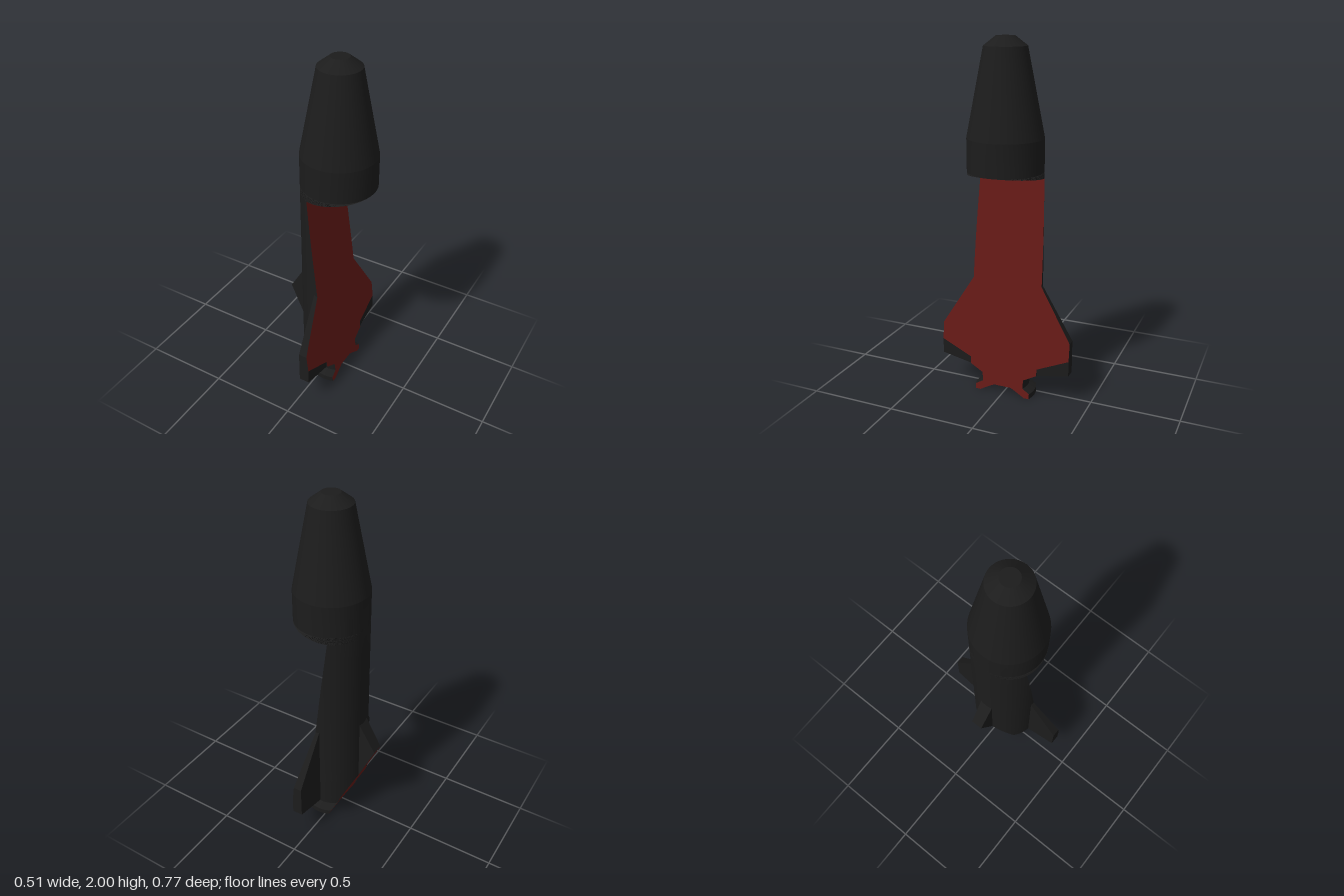
import * as THREE from 'three';
import { toCreasedNormals } from 'three/addons/utils/BufferGeometryUtils.js';

const AXIS = 0.047;          // x of the rocket's axis
const R = 0.207;             // hull radius
const STEPS = 20;            // facets per half turn
const CAVITY_Y = 0.045;      // roof of the nozzle cavity
const BREAK_Y = 1.26, HEAD_Y = 1.3;

const black = new THREE.MeshStandardMaterial({ color: 0x1c1c1c, side: THREE.DoubleSide });
const red = new THREE.MeshStandardMaterial({ color: 0x661a17, side: THREE.DoubleSide });
const grey = new THREE.MeshStandardMaterial({ color: 0xcccccc, side: THREE.DoubleSide });

// Section planes as x limits at each height
function cutFront(y) {
  if (y <= BREAK_Y) return 0.108 - 0.1175 * y;
  if (y < HEAD_Y) return -0.04 + (y - BREAK_Y) / (HEAD_Y - BREAK_Y) * 0.294;
  return 9;
}
const cutBack = (y) => -0.02 - 0.461 * y;
const angleAt = (x, r) => Math.acos(THREE.MathUtils.clamp((x - AXIS) / (r || 1e-6), -1, 1));
const chord = (x, r) => Math.sqrt(Math.max(0, r * r - (x - AXIS) ** 2));

// Collects quads and turns them into a mesh
class Faces {
  constructor() { this.pos = []; }
  tri(a, b, c) {
    const u = new THREE.Vector3().subVectors(b, a), v = new THREE.Vector3().subVectors(c, a);
    if (u.cross(v).length() > 1e-10) for (const p of [a, b, c]) this.pos.push(p.x, p.y, p.z);
  }
  quad(a, b, c, d, flip = false) {
    if (flip) [b, d] = [d, b];
    this.tri(a, b, c);
    this.tri(a, c, d);
  }
  mesh(name, material) {
    const g = new THREE.BufferGeometry();
    g.setAttribute('position', new THREE.Float32BufferAttribute(this.pos, 3));
    const m = new THREE.Mesh(toCreasedNormals(g, 0.17), material);
    m.name = name;
    return m;
  }
}
const V = (x, y, z) => new THREE.Vector3(x, y, z);

// Outer profile [radius, y] from nose to nozzle rim
function outerProfile() {
  const pts = [[0, 2], [0.05, 2], [0.115, 1.95], [R, 1.48], [R, HEAD_Y]];
  for (let i = 1; i <= 16; i++) {      // finer where the head is sectioned
    const t = (1 + (Math.cos(Math.PI * i / 16))) / 2;
    pts.push([R, BREAK_Y + (HEAD_Y - BREAK_Y) * t]);
  }
  for (let i = 1; i <= 8; i++) pts.push([R, BREAK_Y - (BREAK_Y - 0.304) * i / 8]);
  for (let i = 1; i <= 12; i++) pts.push([R, 0.304 - 0.159 * (i / 12) ** 2]);
  const nozzle = [[R, 0.145], [0.135, 0.105], [0.135, 0.055], [0.151, CAVITY_Y], [0.175, 0.03], [0.175, 0]];
  for (let k = 1; k < nozzle.length; k++) {
    const [r0, y0] = nozzle[k - 1], [r1, y1] = nozzle[k];
    for (let i = 1; i <= 4; i++) pts.push([r0 + (r1 - r0) * i / 4, y0 + (y1 - y0) * i / 4]);
  }
  return pts;
}
const cavityRadius = (y) => 0.148 - 0.073 * y / CAVITY_Y;

// Revolved skin, kept only between the two section planes
function skin(profile, name) {
  const f = new Faces();
  const point = ([r, y], j, s) => {
    const a0 = angleAt(cutFront(y), r), a1 = angleAt(cutBack(y), r);
    const a = a0 + (a1 - a0) * j / STEPS;
    return V(AXIS + r * Math.cos(a), y, s * r * Math.sin(a));
  };
  for (const s of [1, -1])
    for (let i = 1; i < profile.length; i++)
      for (let j = 0; j < STEPS; j++) {
        const p = profile[i - 1], q = profile[i];
        f.quad(point(p, j, s), point(q, j, s), point(q, j + 1, s), point(p, j + 1, s), s > 0);
      }
  return f.mesh(name, black);
}

// Flat face left by one section plane, with the cavity left open
function sectionFace(profile, cut, name, back) {
  const f = new Faces();
  for (let i = 1; i < profile.length; i++) {
    const [r0, y0] = profile[i - 1], [r1, y1] = profile[i];
    if (y0 > HEAD_Y || (back && y0 > 0.31)) continue;
    const open = y0 <= CAVITY_Y + 1e-6;
    const row = (r, y, s) => {
      const x = Math.min(cut(y), AXIS + R);
      return [V(x, y, open ? s * chord(x, cavityRadius(y)) : 0), V(x, y, s * chord(x, r))];
    };
    for (const s of [1, -1]) {
      const [a, b] = row(r0, y0, s), [d, c] = row(r1, y1, s);
      f.quad(a, b, c, d, (s < 0) !== back);
    }
  }
  return f.mesh(name, red);
}

// Side fin: root and tip stations, front trimmed by the section plane
function sideFin(s) {
  const station = (z, top, bottom, t) => {
    const mid = (0.108 - AXIS - t) / 0.1175;   // where the plane leaves the fin
    const front = [top, mid, bottom].map((y) => V(Math.min(AXIS + t, cutFront(y)), y, s * z));
    const rear = [top, mid, bottom].map((y) => V(AXIS - t, y, s * z));
    return { front, rear };
  };
  const root = station(0.19, 0.686, 0.143, 0.04), tip = station(0.387, 0.365, 0.175, 0.03);
  const cutF = new Faces(), body = new Faces(), flip = s < 0;
  for (let i = 0; i < 2; i++) {
    (i ? body : cutF).quad(root.front[i], tip.front[i], tip.front[i + 1], root.front[i + 1], flip);
    body.quad(root.rear[i], root.rear[i + 1], tip.rear[i + 1], tip.rear[i], flip);
    body.quad(tip.front[i], tip.rear[i], tip.rear[i + 1], tip.front[i + 1], flip);
  }
  body.quad(root.front[0], root.rear[0], tip.rear[0], tip.front[0], flip);
  body.quad(root.front[2], tip.front[2], tip.rear[2], root.rear[2], flip);
  const g = new THREE.Group();
  g.name = s > 0 ? 'frontFin' : 'backFin';
  g.add(body.mesh('finSkin', black), cutF.mesh('finSection', red));
  return g;
}

// Remaining part of the fin on the model's right
function rightFin() {
  const body = new Faces(), cutF = new Faces();
  const side = (s) => [V(-0.15, 0.686, s * 0.04), V(-0.255, 0.51, s * 0.035), V(-0.15, 0.282, s * 0.04)];
  const [a, b, c] = side(1), [d, e, f] = side(-1);
  body.tri(a, b, c);
  body.tri(d, f, e);
  body.quad(a, d, e, b);
  cutF.quad(b, e, f, c);
  const g = new THREE.Group();
  g.name = 'rightFin';
  g.add(body.mesh('finSkin', black), cutF.mesh('finSection', red));
  return g;
}

// Disc at the roof of the cavity, trimmed by both planes
function nozzleDisc() {
  const geo = new THREE.CircleGeometry(cavityRadius(CAVITY_Y), 48).rotateX(Math.PI / 2);
  geo.translate(AXIS, CAVITY_Y, 0);
  const p = geo.attributes.position;
  for (let i = 0; i < p.count; i++)
    p.setX(i, THREE.MathUtils.clamp(p.getX(i), cutBack(CAVITY_Y), cutFront(CAVITY_Y)));
  const m = new THREE.Mesh(geo, grey);
  m.name = 'nozzleDisc';
  return m;
}

export function createModel() {
  const model = new THREE.Group();
  model.name = 'sectionedRocket';
  const outer = outerProfile();
  const cavity = [[0.175, 0]];
  for (let i = 0; i <= 4; i++) {
    const y = CAVITY_Y * i / 4;
    cavity.push([cavityRadius(y), y]);
  }
  model.add(
    skin(outer, 'hull'),
    skin(cavity, 'nozzleCavity'),
    sectionFace(outer, cutFront, 'mainSection', false),
    sectionFace(outer, cutBack, 'lowerSection', true),
    sideFin(1), sideFin(-1), rightFin(),
    nozzleDisc(),
  );
  return model;
}
